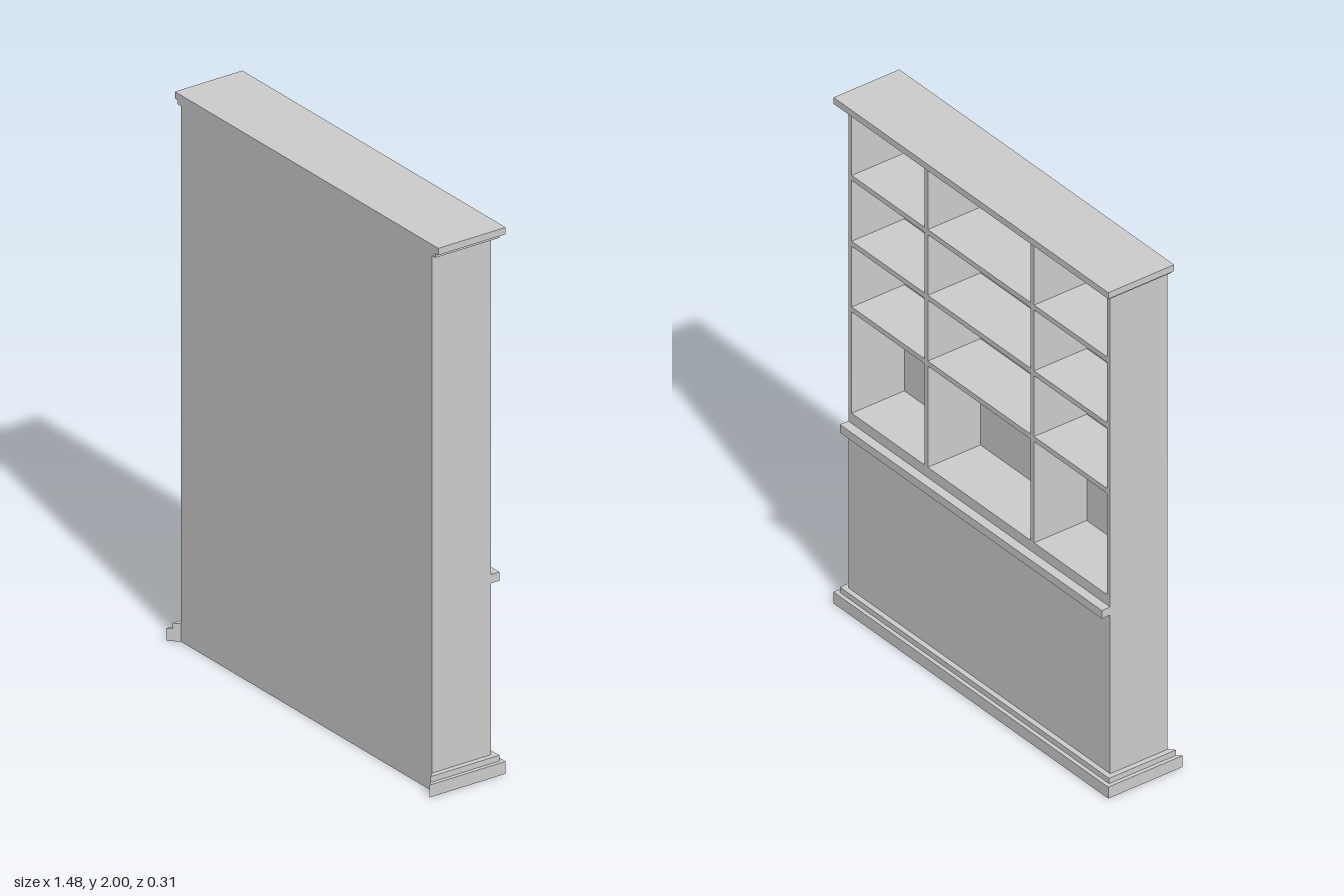
import * as THREE from 'three';

const HALF_W = 0.707, BACK = 0.12, FACE = -0.12, T = 0.018;

export function createModel() {
  const group = new THREE.Group();
  const material = new THREE.MeshStandardMaterial({ color: 0xcccccc, flatShading: true });

  const add = (name, geometry) => {
    const mesh = new THREE.Mesh(geometry, material);
    mesh.name = name;
    group.add(mesh);
    return mesh;
  };
  // box given by its extents
  const box = (name, x0, x1, y0, y1, z0, z1) =>
    add(name, new THREE.BoxGeometry(x1 - x0, y1 - y0, z1 - z0)
      .translate((x0 + x1) / 2, (y0 + y1) / 2, (z0 + z1) / 2));

  // plinth moulding: flat back with mitred spurs at both ends
  const plinth = (name, out, y0, y1) => {
    const w = HALF_W + out, z = BACK + out;
    const shape = new THREE.Shape([
      [-w, -z], [-HALF_W, -BACK], [HALF_W, -BACK], [w, -z], [w, z], [-w, z],
    ].map(([x, y]) => new THREE.Vector2(x, y)));
    const geometry = new THREE.ExtrudeGeometry(shape, { depth: y1 - y0, bevelEnabled: false });
    add(name, geometry.rotateX(-Math.PI / 2).translate(0, y0, 0));
  };

  const floorY = 0.765, topY = 1.945, inner = HALF_W - T, rear = BACK - 0.02;

  // closed lower cabinet and carcass
  box('lowerCabinet', -HALF_W, HALF_W, 0, floorY, FACE, BACK);
  box('backPanel', -HALF_W, HALF_W, floorY, 1.99, rear, BACK);
  box('topPanel', -HALF_W, HALF_W, topY, 1.99, FACE, rear);
  for (const s of [-1, 1]) {
    const x = s * (HALF_W - T / 2), d = s * 0.287;
    box(s > 0 ? 'leftSide' : 'rightSide', x - T / 2, x + T / 2, floorY, topY, FACE, rear);
    box(s > 0 ? 'leftDivider' : 'rightDivider', d - T / 2, d + T / 2, floorY, topY, FACE, rear);
  }

  // shelves, one board per bay
  const edge = 0.287 + T / 2, mid = 0.287 - T / 2;
  for (const y of [1.185, 1.445, 1.705]) {
    for (const [a, b] of [[-inner, -edge], [-mid, mid], [edge, inner]]) {
      box('shelf', a, b, y - 0.02, y, FACE, rear);
    }
  }

  // ledge, plinth and cornice mouldings
  box('ledge', -HALF_W, HALF_W, 0.693, 0.725, -0.155, FACE);
  plinth('plinthBase', 0.035, 0, 0.045);
  plinth('plinthStep', 0.02, 0.045, 0.066);
  box('corniceStep', -0.727, 0.727, 1.96, 1.975, -0.14, BACK);
  box('corniceTop', -0.742, 0.742, 1.975, 2, -0.155, BACK);

  return group;
}
